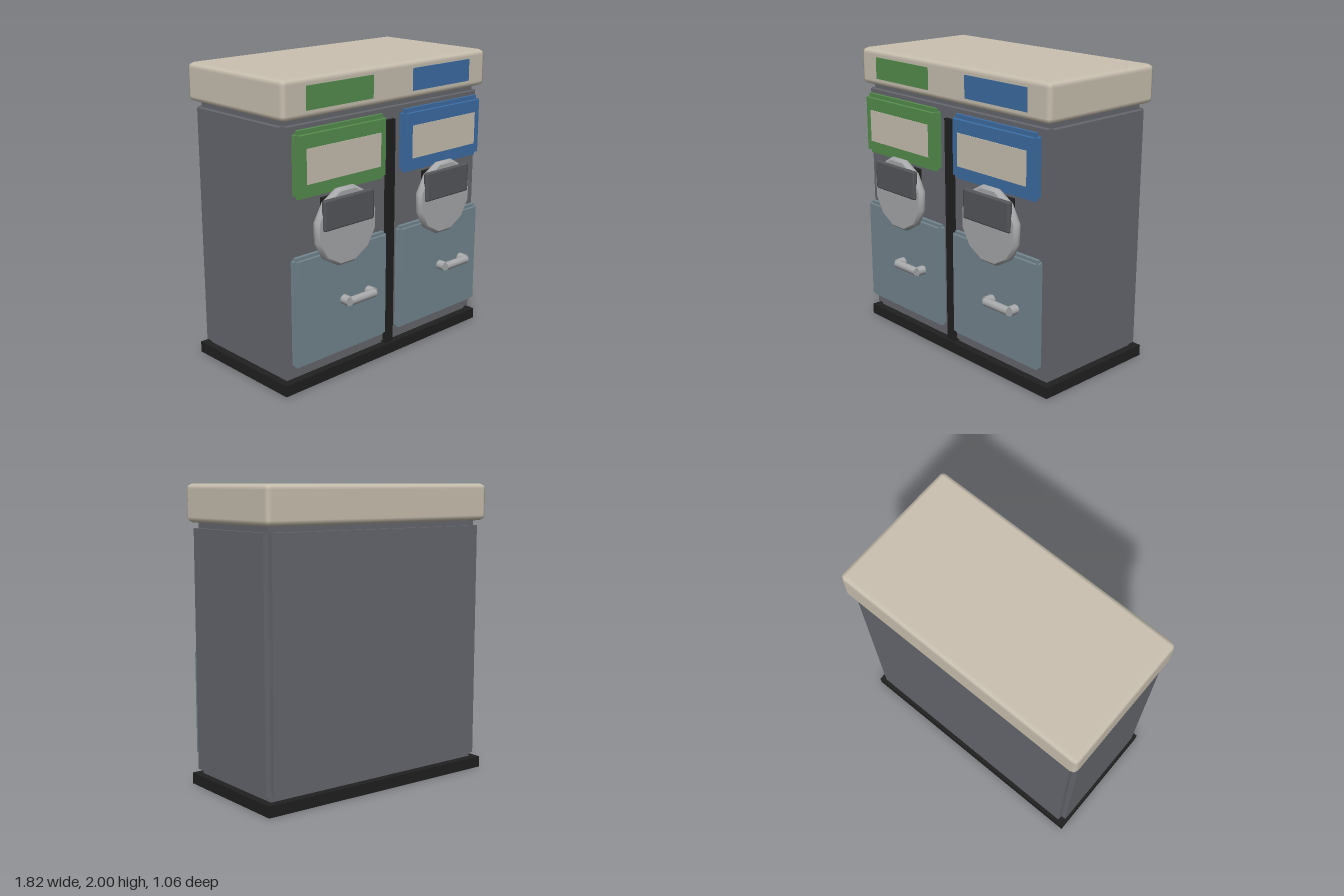
import * as THREE from 'three';
import { RoundedBoxGeometry } from 'three/addons/geometries/RoundedBoxGeometry.js';

const paint = (name, color) => {
  const m = new THREE.MeshStandardMaterial({ color });
  m.name = name;
  return m;
};

export function createModel() {
  const cream = paint('cream', 0xcac1b1);
  const greyBody = paint('body grey', 0x66686e);
  const black = paint('black', 0x202020);
  const green = paint('green', 0x568e4e);
  const blue = paint('blue', 0x3d6ea5);
  const slate = paint('slate blue', 0x74868f);
  const silver = paint('silver', 0xa7a9ab);
  const darkGrey = paint('dark grey', 0x55575b);

  const model = new THREE.Group();
  model.name = 'recyclingStation';

  const add = (parent, name, geometry, material, x, y, z) => {
    const mesh = new THREE.Mesh(geometry, material);
    mesh.name = name;
    mesh.position.set(x, y, z);
    parent.add(mesh);
    return mesh;
  };

  // All boxes are given by their limits on each axis
  const box = (parent, name, material, [x0, x1], [y0, y1], [z0, z1], radius = 0) => {
    const size = [x1 - x0, y1 - y0, z1 - z0];
    const geometry = radius
      ? new RoundedBoxGeometry(...size, 1, radius)
      : new THREE.BoxGeometry(...size);
    return add(parent, name, geometry, material, (x0 + x1) / 2, (y0 + y1) / 2, (z0 + z1) / 2);
  };

  // Panel with stepped edges: three boxes, each full size along one axis only
  const steppedBox = (parent, name, material, x, y, z, step) => {
    const group = new THREE.Group();
    group.name = name;
    parent.add(group);
    ['Width', 'Height', 'Depth'].forEach((axis, full) => {
      const limits = [x, y, z].map(([a, b], i) => (i === full ? [a, b] : [a + step, b - step]));
      box(group, name + axis, material, ...limits);
    });
    return group;
  };

  // Cabinet
  box(model, 'base', black, [-0.905, 0.905], [0, 0.075], [-0.51, 0.4]);
  steppedBox(model, 'cabinet', greyBody, [-0.89, 0.89], [0.075, 1.75], [-0.49, 0.383], 0.036);
  box(model, 'lid', cream, [-0.908, 0.908], [1.75, 2], [-0.527, 0.418], 0.035);
  box(model, 'centreStrip', black, [-0.036, 0.036], [0.095, 1.64], [0.36, 0.408]);

  // Bevelled disc profile: radius, height
  const r = 0.25 / Math.cos(Math.PI / 12);
  const discProfile = [
    [0, 0], [r - 0.015, 0], [r, 0.015], [r, 0.036], [r - 0.015, 0.055], [r - 0.02, 0.056], [0, 0.056],
  ].map(([x, y]) => new THREE.Vector2(x, y));

  // One bay with sign, chute, door and handle
  const addBay = (name, centre, colour) => {
    const bay = new THREE.Group();
    bay.name = name;
    bay.position.x = centre;
    model.add(bay);

    box(bay, 'lidLabel', colour, [-0.274, 0.274], [1.803, 1.95], [0.416, 0.425]);
    steppedBox(bay, 'signFrame', colour, [-0.382, 0.382], [1.275, 1.695], [0.38, 0.456], 0.027);
    box(bay, 'signFace', cream, [-0.308, 0.308], [1.367, 1.585], [0.453, 0.461]);

    // Chute
    box(bay, 'chuteRecess', black, [-0.14, 0.14], [0.86, 1.24], [0.37, 0.435]);
    const disc = add(bay, 'chuteDisc',
      new THREE.LatheGeometry(discProfile, 12, Math.PI / 12), silver, 0, 1.05, 0.43);
    disc.rotation.x = Math.PI / 2;
    box(bay, 'chuteFlap', darkGrey, [-0.21, 0.21], [1.055, 1.255], [0.468, 0.506], 0.014);

    // Door
    steppedBox(bay, 'door', slate, [-0.398, 0.398], [0.183, 0.91], [0.38, 0.445], 0.02);

    // Handle: a bar on two posts
    const bar = add(bay, 'handleBar',
      new THREE.CylinderGeometry(0.028, 0.028, 0.215, 12), silver, 0.107, 0.55, 0.503);
    bar.rotation.z = Math.PI / 2;
    for (const x of [0, 0.215]) {
      const post = add(bay, 'handlePost',
        new THREE.CylinderGeometry(0.032, 0.032, 0.065, 12), silver, x, 0.55, 0.47);
      post.rotation.x = Math.PI / 2;
    }
  };
  addBay('greenBay', -0.455, green);
  addBay('blueBay', 0.455, blue);

  return model;
}
